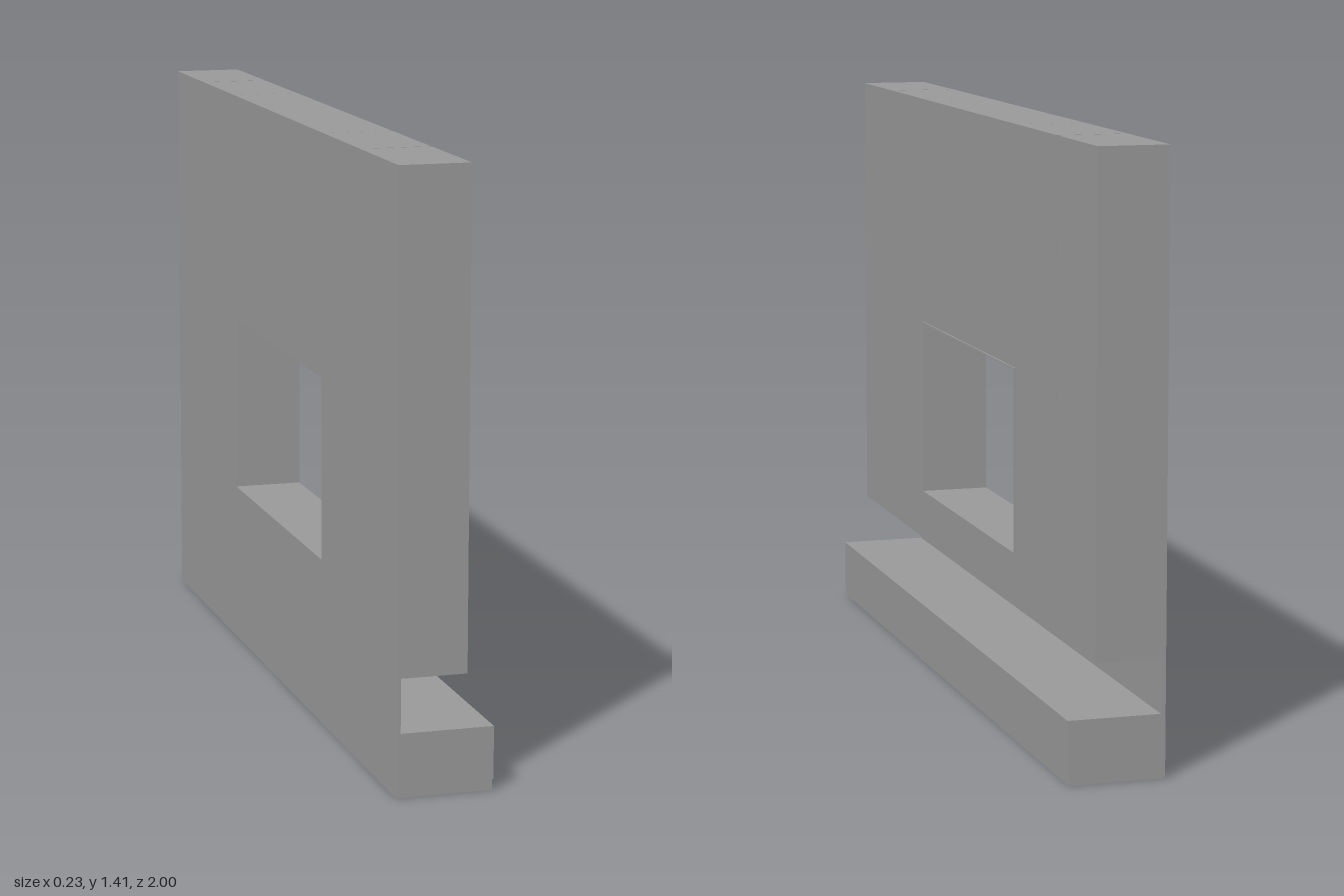
import * as THREE from 'three';

const material = new THREE.MeshStandardMaterial({ color: 0x9b9b9b, flatShading: true });

export function createModel() {
  const model = new THREE.Group();
  model.name = 'wallPanel';

  // Box given by its extents along each axis
  const block = (name, [x0, x1], [y0, y1], [z0, z1]) => {
    const mesh = new THREE.Mesh(new THREE.BoxGeometry(x1 - x0, y1 - y0, z1 - z0), material);
    mesh.position.set((x0 + x1) / 2, (y0 + y1) / 2, (z0 + z1) / 2);
    mesh.name = name;
    model.add(mesh);
  };

  const back = -0.115, skin = -0.104, face = 0.05;
  const bottom = 0.274, top = 1.41;
  const sill = 0.395, head = 0.84, w0 = -0.4, w1 = 0.408;
  const seam = 0.714, gap = 0.002, slit = 0.001;

  // Thin U-shaped backing sheet that joins the side panels to the base
  const outline = new THREE.Shape([
    [-1, 0], [1, 0], [1, top], [-w0 + slit, top], [-w0 + slit, bottom],
    [-w1 - slit, bottom], [-w1 - slit, top], [-1, top],
  ].map(p => new THREE.Vector2(...p)));
  const sheet = new THREE.Mesh(
    new THREE.ExtrudeGeometry(outline, { depth: skin - back, bevelEnabled: false }), material);
  sheet.rotation.y = Math.PI / 2;
  sheet.position.x = back;
  sheet.name = 'backSheet';
  model.add(sheet);

  // Upright panels on both sides of the window, parted by narrow grooves
  const thick = [skin, face], tall = [bottom, top];
  block('outerPanelFront', thick, tall, [seam + gap, 1]);
  block('innerPanelFront', thick, tall, [w1 + slit, seam - gap]);
  block('innerPanelBack', thick, tall, [-seam + gap, w0 - slit]);
  block('outerPanelBack', thick, tall, [-1, -seam - gap]);

  // Full-depth panels above and below the window
  const deep = [back, face];
  block('headPanel', deep, [head, top], [w0, w1]);
  block('sillPanel', deep, [bottom, sill], [w0, w1]);

  // Slim lining around the opening, slightly proud of the face
  const lining = [back, face + 0.004], t = 0.004;
  block('liningTop', lining, [head - t, head], [w0, w1]);
  block('liningBottom', lining, [sill, sill + t], [w0, w1]);
  block('liningFront', lining, [sill, head], [w1 - t, w1]);
  block('liningBack', lining, [sill, head], [w0, w0 + t]);

  // Projecting base ledge with a small recess along its foot
  block('baseLedge', [skin, 0.113], [0.025, 0.148], [-1, 1]);
  block('baseFoot', [skin, 0.11], [0, 0.025], [-1, 1]);

  return model;
}
